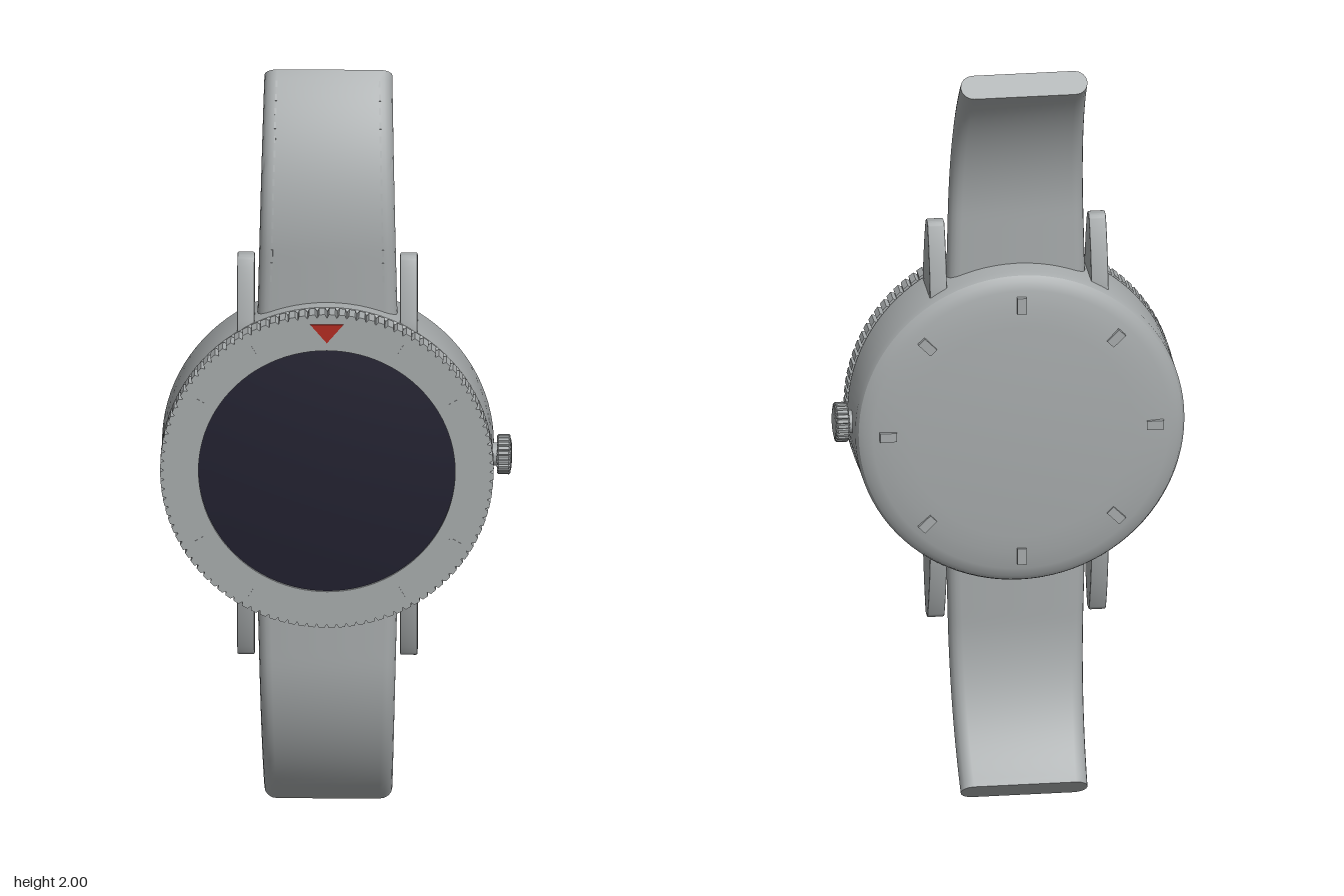
import * as THREE from 'three';
import { toCreasedNormals } from 'three/addons/utils/BufferGeometryUtils.js';

const steel = new THREE.MeshStandardMaterial({ color: 0xa5a9aa });
steel.name = 'steel grey';
const glass = new THREE.MeshStandardMaterial({ color: 0x222130 });
glass.name = 'dark glass';
const red = new THREE.MeshStandardMaterial({ color: 0xb02a20 });
red.name = 'marker red';

function add(parent, name, geometry, material = steel) {
  const mesh = new THREE.Mesh(geometry, material);
  mesh.name = name;
  parent.add(mesh);
  return mesh;
}

// Turned part around the z axis; profile is [radius, z] from back to front
function turned(profile, segments = 96) {
  const pts = profile.map(([r, z]) => new THREE.Vector2(r, z));
  return toCreasedNormals(new THREE.LatheGeometry(pts, segments).rotateX(Math.PI / 2), 0.45);
}

// Toothed outline for the bezel and the crown
function gearShape(teeth, outer, inner) {
  const pts = [];
  for (let i = 0; i < teeth; i++) {
    [[0, inner], [0.18, outer], [0.78, outer], [0.96, inner]].forEach(([f, r]) => {
      const a = ((i + f) / teeth) * Math.PI * 2;
      pts.push(new THREE.Vector2(Math.cos(a) * r, Math.sin(a) * r));
    });
  }
  return new THREE.Shape(pts);
}

// Strap centre line: straight out of the case, then an eighth of a circle backwards
const RADIUS = 0.59, BEND_Y = 0.56, HALF_THICK = 0.033;
function strapFrame(t) {
  const length = 0.2 + RADIUS * Math.PI / 4;
  const s = t * length - 0.2;
  const a = Math.max(0, s) / RADIUS;
  return {
    angle: a,
    y: BEND_Y + Math.min(0, s) + RADIUS * Math.sin(a),
    z: 0.025 - RADIUS * (1 - Math.cos(a)),
    half: 0.181 - 0.016 * t,
  };
}

function strapGeometry() {
  const rows = 28, arc = 8, n = 2 * (arc + 1);
  const pos = [], index = [];
  for (let i = 0; i <= rows; i++) {
    const f = strapFrame(i / rows);
    for (let j = 0; j < n; j++) {
      const side = j <= arc ? 1 : -1;
      const a = -Math.PI / 2 + (Math.PI * (j <= arc ? j : j - 1)) / arc;
      const x = side * (f.half - HALF_THICK) + HALF_THICK * Math.cos(a);
      const d = HALF_THICK * Math.sin(a);
      pos.push(x, f.y + d * Math.sin(f.angle), f.z + d * Math.cos(f.angle));
    }
  }
  for (let i = 0; i < rows; i++) {
    for (let j = 0; j < n; j++) {
      const k = (j + 1) % n, a = i * n, b = a + n;
      index.push(a + j, b + j, a + k, b + j, b + k, a + k);
    }
  }
  // End cap
  const f = strapFrame(1), last = rows * n;
  pos.push(0, f.y, f.z);
  for (let j = 0; j < n; j++) index.push(last + n, last + ((j + 1) % n), last + j);
  const g = new THREE.BufferGeometry();
  g.setAttribute('position', new THREE.Float32BufferAttribute(pos, 3));
  g.setIndex(index);
  return toCreasedNormals(g, 0.6);
}

// Tapered lug, drawn in (z, y) and extruded across x
function lugGeometry() {
  const s = new THREE.Shape();
  s.moveTo(-0.053, 0.33);
  s.lineTo(0.095, 0.33);
  s.lineTo(0.095, 0.365);
  s.quadraticCurveTo(0.075, 0.47, 0.042, 0.538);
  s.quadraticCurveTo(0.036, 0.549, 0.026, 0.549);
  s.lineTo(0.012, 0.549);
  s.quadraticCurveTo(0.003, 0.549, -0.002, 0.538);
  s.quadraticCurveTo(-0.036, 0.47, -0.053, 0.365);
  const g = new THREE.ExtrudeGeometry(s, {
    depth: 0.037, bevelThickness: 0.004, bevelSize: 0.004, bevelOffset: -0.004,
    bevelSegments: 2, curveSegments: 8,
  });
  g.rotateY(-Math.PI / 2).translate(0.0185, 0, 0);
  return toCreasedNormals(g, 0.5);
}

export function createModel() {
  const model = new THREE.Group();
  model.name = 'wristwatch';
  const body = new THREE.Group();
  body.name = 'watchBody';
  body.position.set(-0.0225, 1, 0);
  model.add(body);

  // Case with rounded back and a narrow neck under the bezel
  add(body, 'case', turned([
    [0, -0.106], [0.29, -0.106], [0.34, -0.101], [0.385, -0.094], [0.408, -0.087],
    [0.421, -0.077], [0.428, -0.062], [0.428, 0.094], [0.422, 0.1], [0.412, 0.1],
    [0.412, 0.11], [0, 0.11],
  ]));

  // Toothed bezel ring
  const ring = gearShape(104, 0.43, 0.421);
  ring.holes.push(new THREE.Path().absarc(0, 0, 0.331, 0, Math.PI * 2, true));
  add(body, 'bezel', new THREE.ExtrudeGeometry(ring, {
    depth: 0.05, bevelEnabled: false, curveSegments: 48,
  }).translate(0, 0, 0.105));

  // Domed crystal
  const dome = [[0.331, 0.11]];
  for (let i = 0; i <= 10; i++) {
    const r = 0.331 * (1 - i / 10);
    dome.push([r, 0.168 - 0.18 * r * r]);
  }
  add(body, 'crystal', turned(dome), glass);

  // Red triangle and hour ticks on the bezel
  const tri = new THREE.Shape([
    new THREE.Vector2(-0.043, 0.403), new THREE.Vector2(0, 0.352), new THREE.Vector2(0.043, 0.403),
  ]);
  add(body, 'bezelTriangle', new THREE.ExtrudeGeometry(tri, {
    depth: 0.004, bevelEnabled: false,
  }).translate(0, 0, 0.1535), red);
  for (let i = 1; i < 12; i++) {
    const a = (i * Math.PI) / 6;
    const tick = add(body, 'bezelTick', new THREE.BoxGeometry(0.006, 0.032, 0.003));
    tick.position.set(Math.sin(a) * 0.382, Math.cos(a) * 0.382, 0.1545);
    tick.rotation.z = -a;
  }

  // Raised marks around the back
  for (let i = 0; i < 8; i++) {
    const a = (i * Math.PI) / 4;
    const mark = add(body, 'backMark', new THREE.BoxGeometry(0.024, 0.044, 0.016));
    mark.position.set(Math.sin(a) * 0.347, Math.cos(a) * 0.347, -0.101);
    mark.rotation.z = -a;
  }

  // Crown on its stem
  const crown = new THREE.Group();
  crown.name = 'crown';
  crown.position.set(0, 0, 0.02);
  crown.rotation.y = Math.PI / 2;
  body.add(crown);
  add(crown, 'crownStem', turned([[0.03, 0.41], [0.03, 0.445]], 32));
  add(crown, 'crownKnob', new THREE.ExtrudeGeometry(gearShape(24, 0.052, 0.047), {
    depth: 0.027, bevelThickness: 0.004, bevelSize: 0.004, bevelOffset: -0.004, bevelSegments: 1,
  }).translate(0, 0, 0.441));
  add(crown, 'crownCap', turned([[0.043, 0.468], [0.041, 0.473], [0.03, 0.475], [0, 0.4755]], 32));

  // Strap halves and lugs, the lower set turned half round
  const strapShape = strapGeometry(), lugShape = lugGeometry();
  ['upper', 'lower'].forEach((name, i) => {
    const half = new THREE.Group();
    half.name = name + 'Half';
    half.rotation.z = i * Math.PI;
    body.add(half);
    add(half, name + 'Strap', strapShape);
    [-1, 1].forEach((side) => {
      add(half, name + 'Lug', lugShape).position.x = side * 0.21;
    });
  });

  // Stitching along both edges of the upper strap
  const stitch = new THREE.BoxGeometry(0.005, 0.018, 0.004);
  for (let k = 0; k < 15; k++) {
    const f = strapFrame(0.2 + k * 0.053);
    [-1, 1].forEach((side) => {
      const mesh = add(body, 'stitch', stitch);
      mesh.position.set(side * (f.half - 0.018 - HALF_THICK * 0.45),
        f.y + HALF_THICK * Math.sin(f.angle), f.z + HALF_THICK * Math.cos(f.angle));
      mesh.rotation.x = -f.angle;
    });
  }
  return model;
}
